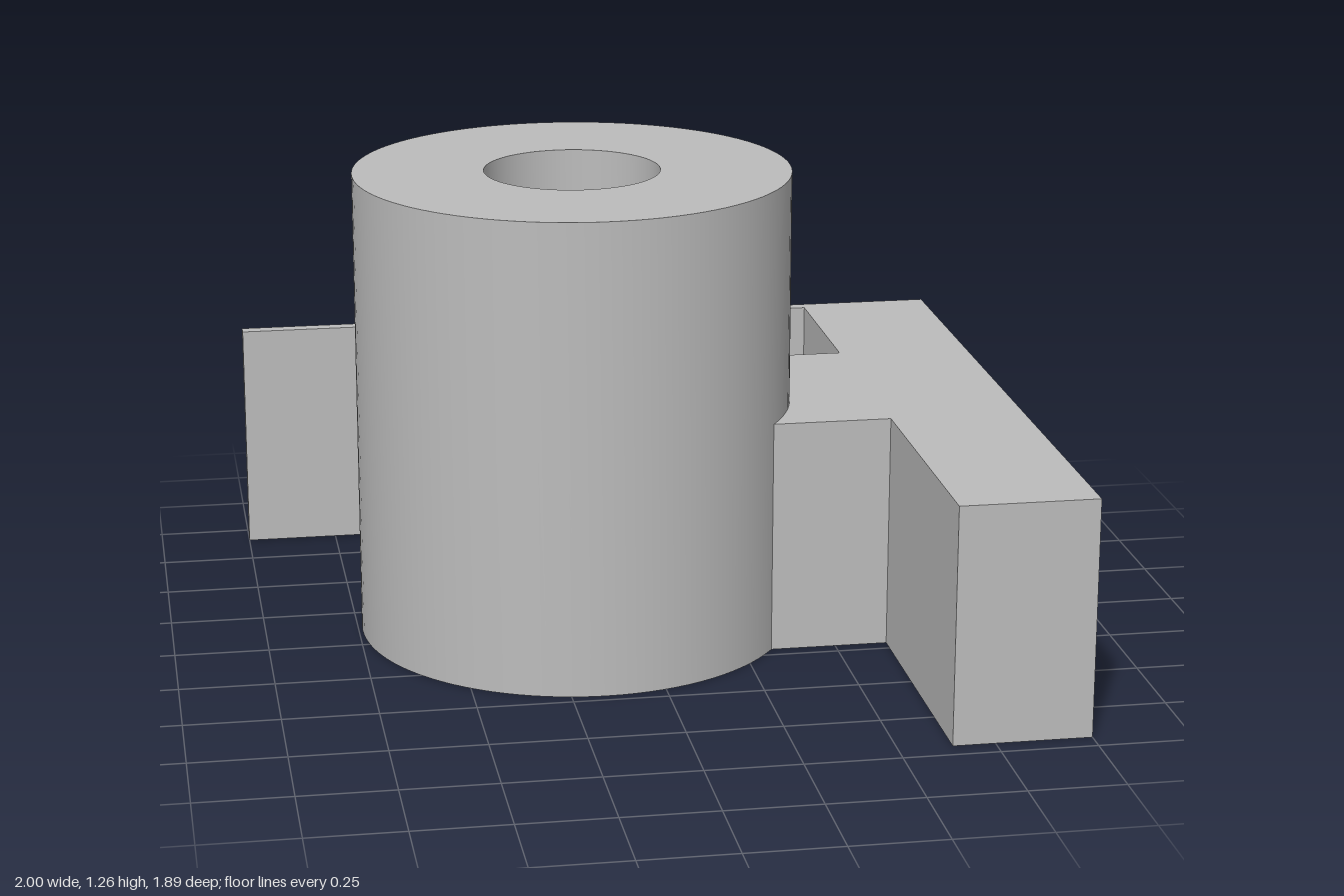
import * as THREE from 'three';
import { toCreasedNormals } from 'three/addons/utils/BufferGeometryUtils.js';

const TOP = 1.26, BASE_H = 0.63;      // barrel and base heights
const CX = -0.16, CZ = -0.107, R = 0.58; // barrel axis and radius

export function createModel() {
  const grey = new THREE.MeshStandardMaterial({ color: 0xbcbcbc });
  grey.name = 'grey';
  const model = new THREE.Group();
  model.name = 'bracket';

  const add = (name, geometry) => {
    const mesh = new THREE.Mesh(geometry, grey);
    mesh.name = name;
    model.add(mesh);
    return mesh;
  };

  // Barrel with a through bore and a conical recess underneath
  const profile = [
    [R, 0], [R, TOP], [0.233, TOP], [0.233, 0.232], [0.425, 0.04], [0.425, 0], [R, 0],
  ].map(([r, y]) => new THREE.Vector2(r, y));
  const barrel = add('barrel', toCreasedNormals(new THREE.LatheGeometry(profile, 96), 0.5));
  barrel.position.set(CX, 0, CZ);

  // Base footprint (shape y is -z): side block, thin back wall and web that meets the barrel
  const webBack = -0.425, webFront = 0.21;
  const a0 = Math.asin((CZ - webFront) / R), a1 = Math.asin((CZ - webBack) / R);
  const s = new THREE.Shape();
  s.moveTo(1, -0.945);
  s.lineTo(1, 0.945);
  s.lineTo(-1, 0.945);
  s.lineTo(-1, 0.908);
  s.lineTo(0.64, 0.908);
  s.lineTo(0.64, -webBack);
  s.absarc(CX, -CZ, R, a1, a0, true);
  s.lineTo(0.64, -webFront);
  s.lineTo(0.64, -0.945);
  s.closePath();
  const base = new THREE.ExtrudeGeometry(s, { depth: BASE_H, bevelEnabled: false, curveSegments: 24 });
  base.rotateX(-Math.PI / 2);
  add('baseAndWall', base);

  return model;
}
